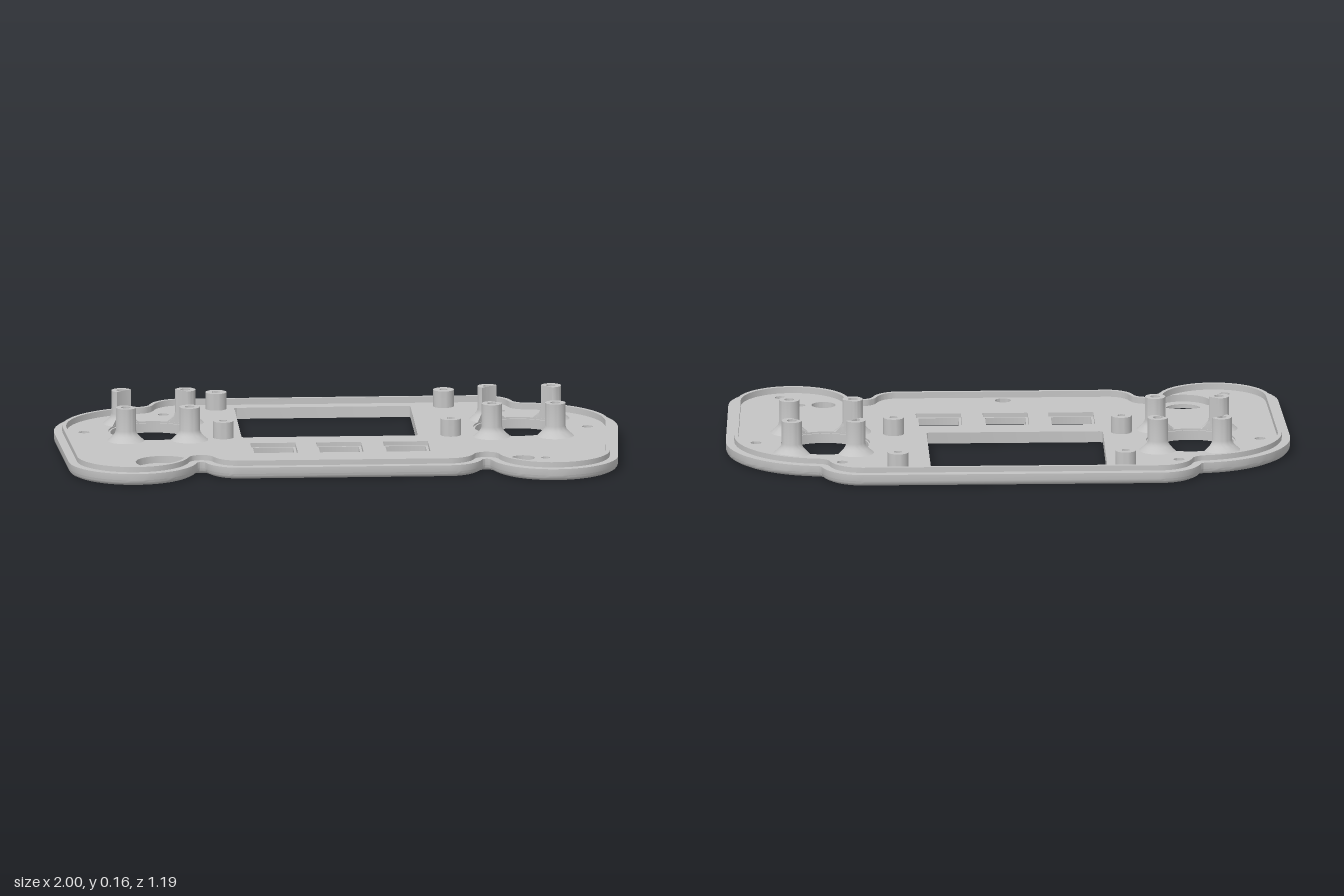
import * as THREE from 'three';
import { toCreasedNormals } from 'three/addons/utils/BufferGeometryUtils.js';

const FLOOR = 0.04;

// Centre of a fillet circle touching two circles, on the chosen side.
function filletCentre(a, b, r, side) {
  const ra = a.r + r, rb = b.r + r;
  const dx = b.x - a.x, dz = b.z - a.z, d = Math.hypot(dx, dz);
  const t = (ra * ra - rb * rb + d * d) / (2 * d);
  const h = side * Math.sqrt(ra * ra - t * t);
  return { x: a.x + (dx * t - dz * h) / d, z: a.z + (dz * t + dx * h) / d, r, concave: true };
}
const angle = (from, to) => Math.atan2(to.z - from.z, to.x - from.x);

// Tangent arcs of the left half of the outline, from the back round to the front.
const corner = { x: 0.525, z: -0.45, r: 0.15 };
const shoulder = { x: 0.655, z: -0.125, r: 0.345 };
const lobe = { x: 0.745, z: 0.362, r: 0.23 };
const frontCorner = { x: 0.37, z: 0.38, r: 0.125 };
const backNotch = filletCentre(corner, shoulder, 0.02, -1);
const frontNotch = filletCentre(frontCorner, lobe, 0.016, 1);
const tangent = angle(shoulder, lobe) -
  Math.acos((shoulder.r - lobe.r) / Math.hypot(lobe.x - shoulder.x, lobe.z - shoulder.z));
const ARCS = [
  [corner, -Math.PI / 2, angle(corner, backNotch), 14],
  [backNotch, angle(backNotch, corner), angle(backNotch, shoulder), 8],
  [shoulder, angle(shoulder, backNotch), tangent, 24],
  [lobe, tangent, angle(lobe, frontNotch), 30],
  [frontNotch, angle(frontNotch, lobe), angle(frontNotch, frontCorner), 12],
  [frontCorner, angle(frontCorner, frontNotch), Math.PI / 2, 14],
];

// Closed outline, inset by a distance.
function outline(inset) {
  const half = [];
  for (const [c, a0, a1, n] of ARCS) {
    const r = c.concave ? c.r + inset : c.r - inset;
    for (let i = 0; i <= n; i++) {
      const a = a0 + (a1 - a0) * i / n;
      half.push([c.x + r * Math.cos(a), c.z + r * Math.sin(a)]);
    }
  }
  return [...half, ...half.map(([x, z]) => [-x, z]).reverse()];
}

// Skin swept round the outline through [inset, height] steps.
function sweepRim(profile) {
  const loops = profile.map(([inset]) => outline(inset));
  const n = loops[0].length, pos = [], index = [];
  loops.forEach((loop, j) => loop.forEach(([x, z]) => pos.push(x, profile[j][1], z)));
  for (let j = 0; j < loops.length - 1; j++) {
    for (let i = 0; i < n; i++) {
      const a = j * n + i, b = j * n + (i + 1) % n;
      index.push(a, a + n, b, b, a + n, b + n);
    }
  }
  const g = new THREE.BufferGeometry();
  g.setAttribute('position', new THREE.Float32BufferAttribute(pos, 3));
  g.setIndex(index);
  return toCreasedNormals(g, 0.6);
}

const circle = (x, z, r, Kind = THREE.Path) => new Kind().absarc(x, -z, r, 0, Math.PI * 2);

function rectangle(x0, x1, z0, z1, r, Kind = THREE.Path) {
  const p = new Kind();
  const a = -z1, b = -z0, q = Math.PI / 2;
  p.absarc(x0 + r, a + r, r, 2 * q, 3 * q);
  p.absarc(x1 - r, a + r, r, 3 * q, 4 * q);
  p.absarc(x1 - r, b - r, r, 0, q);
  p.absarc(x0 + r, b - r, r, q, 2 * q);
  p.closePath();
  return p;
}

// Flat slab standing on y = 0.
function slab(shape, holes, height) {
  shape.holes.push(...holes);
  const g = new THREE.ExtrudeGeometry(shape, { depth: height, bevelEnabled: false, curveSegments: 32 });
  g.rotateX(-Math.PI / 2);
  return toCreasedNormals(g, 0.6);
}

function lathe(points) {
  return new THREE.LatheGeometry(points.map(([r, y]) => new THREE.Vector2(r, y)), 32);
}

export function createModel() {
  const model = new THREE.Group();
  model.position.z = 0.004;
  const grey = new THREE.MeshStandardMaterial({ color: 0xc4c4c4 });
  grey.name = 'grey plastic';
  const add = (name, geometry) => {
    const m = new THREE.Mesh(geometry, grey);
    m.name = name;
    model.add(m);
    return m;
  };

  // Face plate with all its openings
  const stickX = 0.647, stickZ = -0.143, stickR = 0.158;
  const buttons = [[-0.315, -0.155], [-0.082, 0.078], [0.155, 0.315]];
  const holes = [
    rectangle(-0.34, 0.285, -0.505, -0.013, 0.012),
    circle(-0.637, 0.38, 0.1),
    circle(0.637, 0.38, 0.042),
    circle(0.717, 0.38, 0.016),
    circle(0, 0.422, 0.028),
  ];
  for (const s of [-1, 1]) {
    holes.push(circle(s * stickX, stickZ, stickR));
    for (const [x, z] of [[0.597, -0.407], [0.893, -0.13], [0.787, 0.487]]) {
      holes.push(circle(s * x, z, 0.019));
    }
  }
  for (const [x0, x1] of buttons) holes.push(rectangle(x0, x1, 0.085, 0.25, 0.003));
  const plateShape = new THREE.Shape(outline(0.018).map(([x, z]) => new THREE.Vector2(x, -z)));
  add('facePlate', slab(plateShape, holes, FLOOR));

  // Rounded outer edge, step and raised lip
  add('rim', sweepRim([
    [0.018, 0], [0.007, 0.005], [0.002, 0.012], [0, 0.02], [0, 0.043],
    [0.03, 0.043], [0.03, 0.062], [0.044, 0.062], [0.044, FLOOR],
  ]));

  // Narrow ledges inside the button and stick openings
  for (const [x0, x1] of buttons) {
    add('buttonLedge', slab(rectangle(x0, x1, 0.085, 0.25, 0.003, THREE.Shape),
      [rectangle(x0 + 0.009, x1 - 0.009, 0.094, 0.241, 0.003)], 0.025));
  }
  for (const x of [-stickX, stickX]) {
    add('stickLedge', slab(circle(x, stickZ, stickR, THREE.Shape),
      [circle(x, stickZ, stickR - 0.006)], 0.034));
  }

  // Sunken seat of the round opening, and floor of the pin hole
  add('roundSeat', slab(circle(-0.637, 0.38, 0.1, THREE.Shape), [circle(-0.637, 0.38, 0.064)], 0.015));
  add('pinHoleFloor', slab(circle(0.717, 0.38, 0.016, THREE.Shape), [], 0.015));

  // Short screen posts
  const shortPost = toCreasedNormals(lathe([
    [0.037, FLOOR], [0.037, 0.1], [0.014, 0.1], [0.014, 0.05], [0, 0.05],
  ]), 0.6);
  for (const x of [-0.405, 0.402]) {
    for (const z of [-0.498, -0.02]) add('screenPost', shortPost).position.set(x, 0, z);
  }

  // Tall posts with flared feet, trimmed where they meet the stick opening
  for (const [cx, xs] of [[-stickX, [-0.752, -0.526]], [stickX, [0.546, 0.771]]]) {
    for (const x of xs) {
      for (const z of [-0.275, 0.013]) {
        const g = lathe([
          [0.066, FLOOR], [0.054, 0.05], [0.045, 0.059], [0.039, 0.067], [0.036, 0.078],
          [0.036, 0.159], [0.017, 0.159], [0.017, 0.09], [0, 0.09],
        ]).translate(x, 0, z);
        const p = g.attributes.position;
        for (let i = 0; i < p.count; i++) {
          const dx = p.getX(i) - cx, dz = p.getZ(i) - stickZ;
          const k = Math.max(1, (stickR + 0.001) / Math.hypot(dx, dz));
          p.setX(i, cx + dx * k);
          p.setZ(i, stickZ + dz * k);
        }
        add('stickPost', toCreasedNormals(g, 0.5));
      }
    }
  }
  return model;
}
